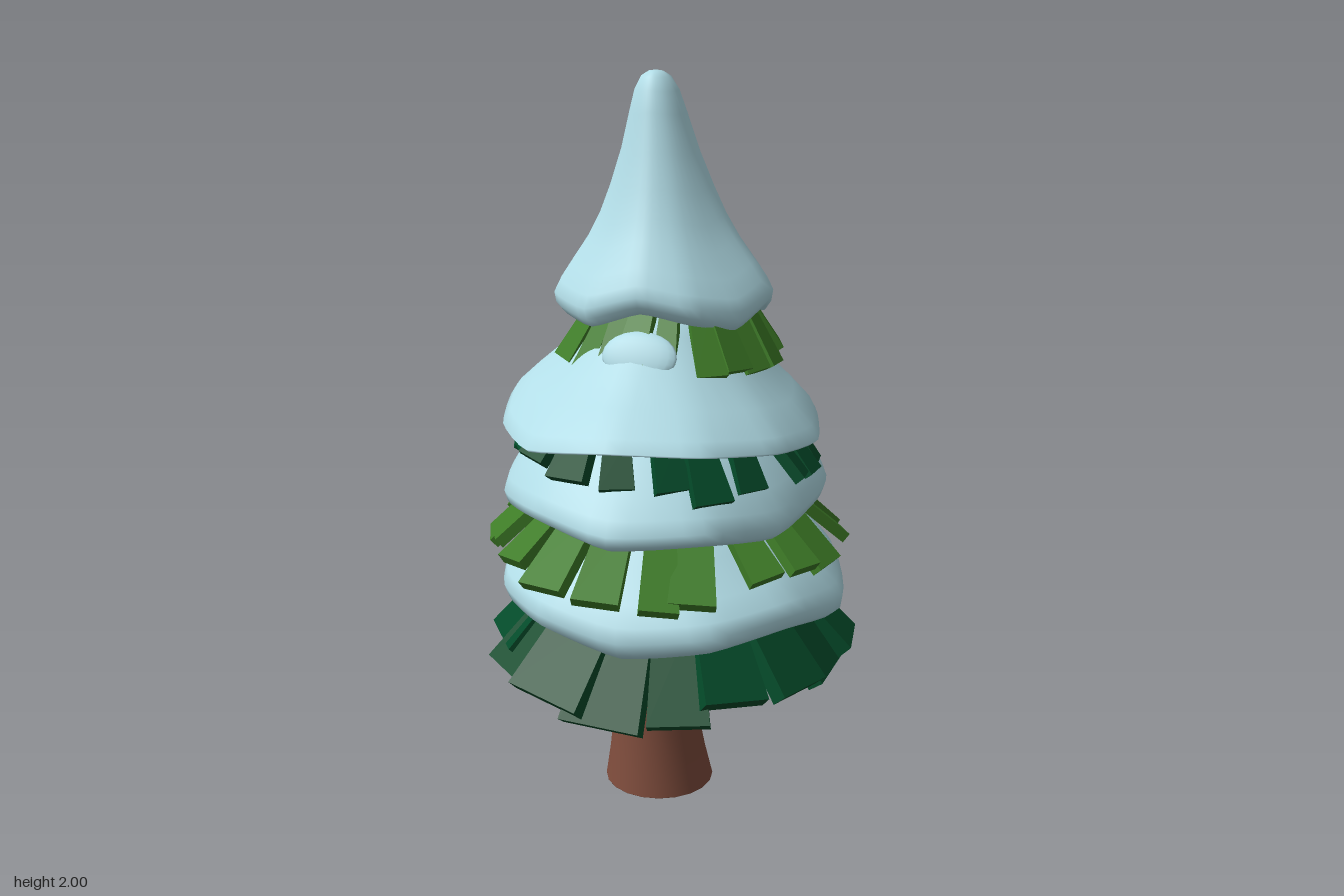
import * as THREE from 'three';
import { mergeVertices } from 'three/addons/utils/BufferGeometryUtils.js';

const mat = (name, color) => {
  const m = new THREE.MeshStandardMaterial({ color });
  m.name = name;
  return m;
};

// Lathe whose profile is [radius share, height share] (0 = top, 1 = rim),
// bent to a wavy rim given as twelve radii and twelve heights, front first, turning to +x.
function snowLayer(name, material, { top, centre, profile, radii, heights }) {
  const rim = new THREE.CatmullRomCurve3(
    radii.map((r, i) => {
      const a = (i / 12) * Math.PI * 2;
      return new THREE.Vector3(Math.sin(a) * r, heights[i], Math.cos(a) * r);
    }), true, 'catmullrom', 0.25);
  const mean = radii.reduce((s, r) => s + r, 0) / 12;
  const geo = new THREE.LatheGeometry(profile.map(([f, t]) => new THREE.Vector2(f, t)), 48);
  geo.deleteAttribute('uv');
  geo.deleteAttribute('normal');
  const pos = geo.attributes.position;
  const p = new THREE.Vector3();
  for (let i = 0; i < pos.count; i++) {
    const x = pos.getX(i), t = pos.getY(i), z = pos.getZ(i);
    const f = Math.hypot(x, z);
    const u = (Math.atan2(x, z) / (Math.PI * 2) + 1) % 1;
    rim.getPoint(u, p);
    const a = u * Math.PI * 2;
    const k = t * t;
    pos.setXYZ(i,
      THREE.MathUtils.lerp(top[0], centre[0], t) + f * THREE.MathUtils.lerp(Math.sin(a) * mean, p.x, k),
      top[1] + t * (p.y - top[1]),
      THREE.MathUtils.lerp(top[2], centre[1], t) + f * THREE.MathUtils.lerp(Math.cos(a) * mean, p.z, k));
  }
  const smooth = mergeVertices(geo, 1e-4);
  smooth.computeVertexNormals();
  const mesh = new THREE.Mesh(smooth, material);
  mesh.name = name;
  return mesh;
}

// Ring of tapered planks sloping outwards and down from inner [rx, y, rz] to outer [rx, y, rz];
// slope tips the whole ring along x and z
function branchRing(name, material, { count, width, thick, inner, outer, centre, slope, drop, seed }) {
  const ring = new THREE.Group();
  ring.name = name;
  let s = seed;
  const jitter = (amount) => {
    s = (s * 16807) % 2147483647;
    return (s / 2147483647 - 0.5) * 2 * amount;
  };
  for (let i = 0; i < count; i++) {
    const a = ((i + jitter(0.18)) / count) * Math.PI * 2;
    const at = ([rx, y, rz], angle, k) => {
      const x = Math.sin(angle) * rx * k, z = Math.cos(angle) * rz * k;
      return new THREE.Vector3(centre[0] + x, y + slope[0] * x + slope[1] * z, centre[1] + z);
    };
    const from = at(inner, a, 1);
    const to = at(outer, a + jitter(0.08), 1 + jitter(0.04));
    to.y += jitter(drop);
    const geo = new THREE.BoxGeometry(width * (1 + jitter(0.25)), thick, from.distanceTo(to));
    const pos = geo.attributes.position;
    for (let v = 0; v < pos.count; v++) {
      if (pos.getZ(v) < 0) pos.setX(v, pos.getX(v) * 0.7);
    }
    geo.computeVertexNormals();
    const plank = new THREE.Mesh(geo, material);
    plank.name = 'needlePlank';
    plank.position.copy(from).lerp(to, 0.5);
    plank.lookAt(to);
    plank.rotateZ(jitter(0.18));
    ring.add(plank);
  }
  return ring;
}

export function createModel() {
  const tree = new THREE.Group();
  tree.name = 'snowyTree';
  const snow = mat('snow', 0xb2dde7);
  const light = mat('lightNeedles', 0x3e7c27);
  const dark = mat('darkNeedles', 0x034a29);
  const bark = mat('bark', 0x7e4c3c);

  // Trunk, flared at the foot and leaning slightly forward
  const trunkGeo = new THREE.LatheGeometry(
    [[0, 0], [0.153, 0], [0.153, 0.001], [0.135, 0.1], [0.118, 0.22], [0.105, 0.38], [0.1, 0.5], [0.092, 0.82], [0, 0.82]]
      .map(([r, y]) => new THREE.Vector2(r, y)), 20);
  const tp = trunkGeo.attributes.position;
  for (let i = 0; i < tp.count; i++) {
    tp.setX(i, tp.getX(i) - 0.043);
    tp.setZ(i, tp.getZ(i) - 0.01 + 0.035 * Math.min(1, tp.getY(i) / 0.25));
  }
  const trunk = new THREE.Mesh(trunkGeo, bark);
  trunk.name = 'trunk';
  tree.add(trunk);

  // Snow layers from the bottom up, each hollow underneath
  tree.add(snowLayer('bottomSnow', snow, {
    top: [-0.02, 0.96, 0], centre: [0.005, 0.005],
    profile: [[0, 0.35], [0.4, 0.42], [0.62, 0.62], [0.78, 0.86], [0.87, 0.98], [0.93, 1], [0.98, 0.95], [1, 0.86], [0.97, 0.76], [0.88, 0.64], [0.72, 0.43], [0.6, 0.25], [0.4, 0.08], [0, 0]],
    radii: [0.46, 0.48, 0.475, 0.485, 0.465, 0.48, 0.46, 0.465, 0.47, 0.48, 0.465, 0.47],
    heights: [0.57, 0.6, 0.62, 0.58, 0.62, 0.66, 0.62, 0.6, 0.6, 0.6, 0.59, 0.6],
  }));
  tree.add(snowLayer('lowerMiddleSnow', snow, {
    top: [-0.02, 1.21, 0.01], centre: [-0.01, 0.01],
    profile: [[0, 0.45], [0.4, 0.5], [0.65, 0.7], [0.86, 0.97], [0.94, 1], [0.99, 0.95], [1, 0.87], [0.96, 0.76], [0.88, 0.62], [0.78, 0.44], [0.66, 0.25], [0.4, 0.08], [0, 0]],
    radii: [0.49, 0.47, 0.43, 0.42, 0.44, 0.49, 0.5, 0.49, 0.45, 0.42, 0.44, 0.46],
    heights: [0.88, 0.89, 0.86, 0.89, 0.86, 0.83, 0.84, 0.87, 0.89, 0.88, 0.87, 0.9],
  }));
  tree.add(snowLayer('upperMiddleSnow', snow, {
    top: [-0.03, 1.46, -0.02], centre: [-0.015, 0.03],
    profile: [[0, 0.5], [0.4, 0.58], [0.65, 0.76], [0.88, 0.94], [0.98, 1], [1, 0.98], [0.95, 0.89], [0.81, 0.73], [0.64, 0.55], [0.48, 0.3], [0.36, 0.1], [0, 0]],
    radii: [0.46, 0.46, 0.44, 0.425, 0.42, 0.44, 0.43, 0.44, 0.44, 0.43, 0.43, 0.46],
    heights: [1.135, 1.13, 1.1, 1.07, 1.09, 1.07, 1.08, 1.09, 1.1, 1.13, 1.1, 1.1],
  }));
  tree.add(snowLayer('snowCap', snow, {
    top: [-0.065, 2.0, -0.06], centre: [-0.02, -0.04],
    profile: [[0, 0.9], [0.6, 0.94], [0.85, 0.99], [0.94, 1], [1, 0.965], [1.02, 0.92], [0.97, 0.87], [0.87, 0.8], [0.72, 0.7], [0.6, 0.6], [0.49, 0.48], [0.37, 0.33], [0.27, 0.17], [0.21, 0.08], [0.14, 0.025], [0.07, 0.005], [0, 0]],
    radii: [0.255, 0.265, 0.27, 0.275, 0.275, 0.295, 0.25, 0.295, 0.29, 0.26, 0.305, 0.285],
    heights: [1.42, 1.395, 1.37, 1.405, 1.36, 1.335, 1.405, 1.37, 1.38, 1.41, 1.39, 1.375],
  }));

  // Thin snow patch lying on the top needles at the front
  const patch = new THREE.Mesh(new THREE.SphereGeometry(1, 20, 12), snow);
  patch.name = 'snowPatch';
  patch.scale.set(0.1, 0.065, 0.02);
  patch.position.set(-0.01, 1.32, 0.236);
  patch.rotation.x = -0.5;
  tree.add(patch);

  // Needle rings below each snow layer
  tree.add(branchRing('bottomNeedles', dark, {
    count: 17, width: 0.19, thick: 0.045, inner: [0.28, 0.68, 0.28], outer: [0.475, 0.455, 0.485],
    centre: [0, 0.01], slope: [0, -0.05], drop: 0.045, seed: 11,
  }));
  tree.add(branchRing('lowerNeedles', light, {
    count: 20, width: 0.125, thick: 0.03, inner: [0.3, 0.91, 0.34], outer: [0.455, 0.76, 0.55],
    centre: [-0.01, 0], slope: [-0.05, 0.045], drop: 0.03, seed: 29,
  }));
  tree.add(branchRing('middleNeedles', dark, {
    count: 20, width: 0.105, thick: 0.03, inner: [0.32, 1.12, 0.33], outer: [0.4, 1.01, 0.42],
    centre: [-0.015, 0.01], slope: [-0.07, 0.05], drop: 0.025, seed: 53,
  }));
  tree.add(branchRing('topNeedles', light, {
    count: 20, width: 0.078, thick: 0.025, inner: [0.19, 1.42, 0.19], outer: [0.285, 1.26, 0.295],
    centre: [-0.01, -0.03], slope: [0, 0.03], drop: 0.02, seed: 71,
  }));
  return tree;
}
